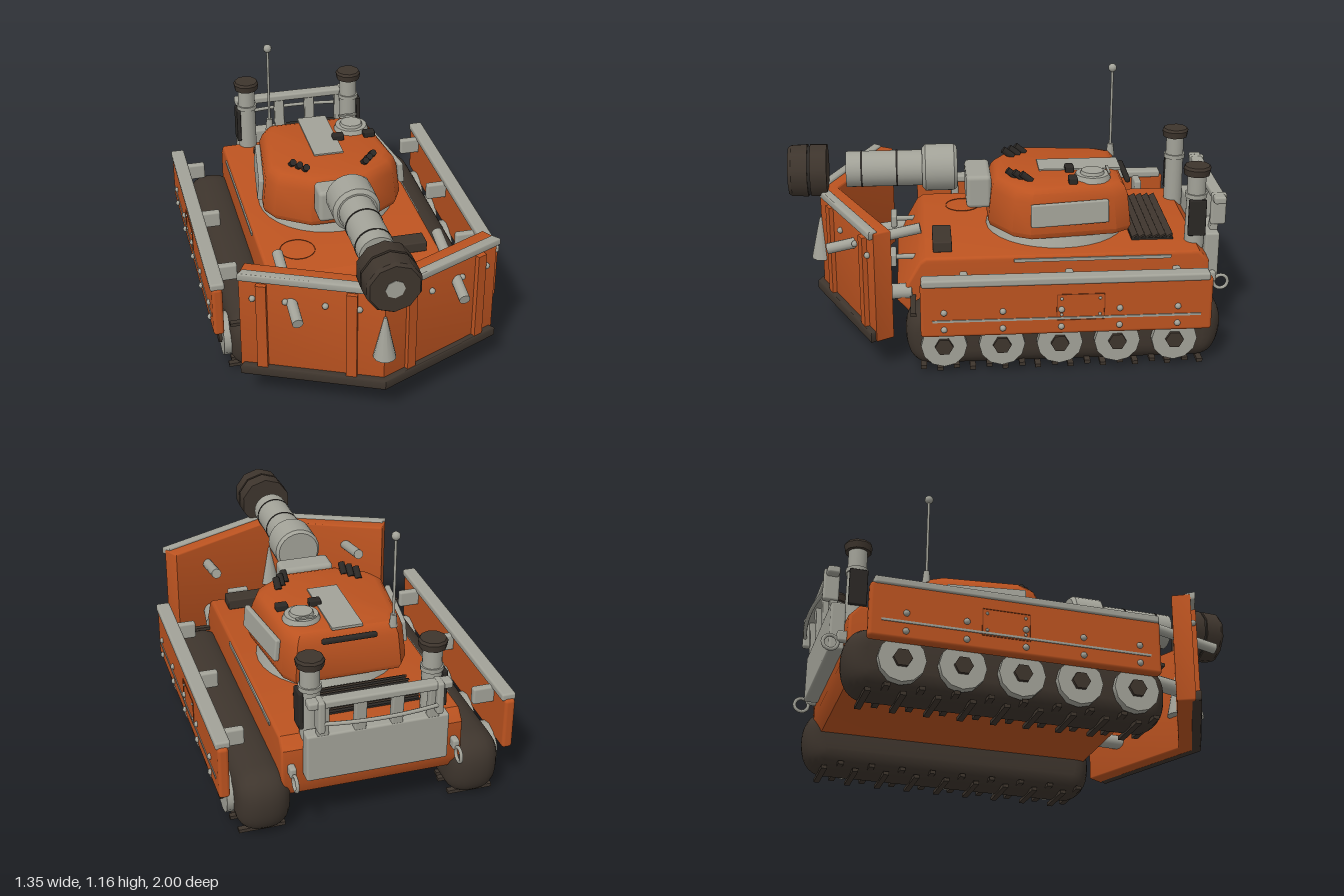
import * as THREE from 'three';
import { toCreasedNormals } from 'three/addons/utils/BufferGeometryUtils.js';
import { RoundedBoxGeometry } from 'three/addons/geometries/RoundedBoxGeometry.js';

const mat = (name, color) => {
  const m = new THREE.MeshStandardMaterial({ color });
  m.name = name;
  return m;
};

export function createModel() {
  const root = new THREE.Group();
  root.name = 'dozerTank';
  const orange = mat('orange paint', 0xbc5320);
  const seam = mat('dark orange seam', 0x8a3c17);
  const grey = mat('grey metal', 0xa2a298);
  const dark = mat('dark brown rubber', 0x3e352d);
  const black = mat('black iron', 0x2b2825);

  const add = (name, geo, m, x = 0, y = 0, z = 0, rx = 0, ry = 0, rz = 0) => {
    const mesh = new THREE.Mesh(geo, m);
    mesh.name = name;
    mesh.position.set(x, y, z);
    mesh.rotation.set(rx, ry, rz);
    root.add(mesh);
    return mesh;
  };
  const box = (w, h, d) => new THREE.BoxGeometry(w, h, d);
  const rbox = (w, h, d, r = 0.01) => new RoundedBoxGeometry(w, h, d, 2, r);
  const cyl = (r1, r2, h, n = 16) => new THREE.CylinderGeometry(r1, r2, h, n);
  const ball = r => new THREE.SphereGeometry(r, 10, 8);
  // Straight tube between two points
  const rod = (name, a, b, r, m) => {
    const va = new THREE.Vector3(...a), vb = new THREE.Vector3(...b);
    const mesh = add(name, cyl(r, r, va.distanceTo(vb), 12), m);
    mesh.position.copy(va).add(vb).multiplyScalar(0.5);
    mesh.quaternion.setFromUnitVectors(new THREE.Vector3(0, 1, 0), vb.sub(va).normalize());
  };
  // Side profile of (z, y) points, extruded across x
  const sideExtrude = (shape, width, size, thick) => {
    const g = new THREE.ExtrudeGeometry(shape, {
      depth: width - 2 * thick, bevelSize: size, bevelThickness: thick,
      bevelOffset: -size, bevelSegments: 5, curveSegments: 10,
    });
    g.translate(0, 0, thick - width / 2);
    g.rotateY(-Math.PI / 2);
    return toCreasedNormals(g, 0.6);
  };
  const poly = pts => new THREE.Shape(pts.map(p => new THREE.Vector2(...p)));
  const sides = [-1, 1];

  // Hull
  add('hull', sideExtrude(poly([[0.44, 0.17], [0.52, 0.26], [0.42, 0.44], [0.39, 0.46], [-0.83, 0.46],
    [-0.875, 0.41], [-0.875, 0.24], [-0.84, 0.17]]), 0.8, 0.015, 0.015), orange);
  add('roundHatchSeam', new THREE.TorusGeometry(0.08, 0.002, 6, 28), seam, -0.23, 0.461, 0.205, Math.PI / 2);
  add('deckBox', rbox(0.205, 0.05, 0.085, 0.006), dark, 0.235, 0.485, 0.315);
  add('grilleBase', box(0.51, 0.012, 0.19), black, 0, 0.463, -0.64);
  for (let i = 0; i < 6; i++)
    add('grilleSlat', box(0.51, 0.008, 0.03), dark, 0, 0.478, -0.56 - i * 0.032, 0.5);

  // Tracks, wheels and side skirts
  const loop = new THREE.Shape();
  loop.moveTo(0.38, 0.008);
  loop.bezierCurveTo(0.47, 0.012, 0.485, 0.1, 0.485, 0.17);
  loop.bezierCurveTo(0.485, 0.25, 0.43, 0.3, 0.36, 0.3);
  loop.lineTo(-0.78, 0.3);
  loop.bezierCurveTo(-0.87, 0.3, -0.91, 0.25, -0.91, 0.17);
  loop.bezierCurveTo(-0.91, 0.1, -0.89, 0.012, -0.8, 0.008);
  const trackGeo = sideExtrude(loop, 0.23, 0.085, 0.098);
  const wheelZ = [0, 1, 2, 3, 4].map(i => 0.32 - i * 0.252);
  for (const s of sides) {
    add('track', trackGeo, dark, s * 0.47, 0, 0);
    for (let i = 0; i < 18; i++) {
      const low = i % 2;
      add('trackCleat', box(low ? 0.205 : 0.245, 0.016, 0.026), dark, s * 0.475, low ? 0.008 : 0.03, 0.41 - i * 0.072);
    }
    add('frontCleat', box(0.2, 0.016, 0.025), dark, s * 0.49, 0.28, 0.45);
    for (const z of wheelZ) {
      add('roadWheel', cyl(0.1, 0.1, 0.04, 12), grey, s * 0.595, 0.14, z, 0, 0, Math.PI / 2);
      add('wheelHub', cyl(0.04, 0.04, 0.02, 6), dark, s * 0.62, 0.14, z, 0, 0, Math.PI / 2);
      for (const y of [0.24, 0.32]) add('skirtBolt', ball(0.014), grey, s * 0.659, y, z);
    }
    add('sideSkirt', rbox(0.048, 0.245, 1.26, 0.015), orange, s * 0.635, 0.325, -0.21);
    add('skirtRail', rbox(0.065, 0.035, 1.24), grey, s * 0.633, 0.455, -0.205);
    add('skirtStrip', box(0.006, 0.01, 1.16), grey, s * 0.66, 0.28, -0.21);
    for (const z of [-0.165, -0.37]) add('skirtPanelSeam', box(0.004, 0.12, 0.004), seam, s * 0.66, 0.33, z);
    for (const y of [0.27, 0.39]) add('skirtPanelSeam', box(0.004, 0.004, 0.205), seam, s * 0.66, y, -0.268);
    for (const z of [-0.185, -0.35])
      for (const y of [0.295, 0.37]) add('panelBolt', ball(0.007), grey, s * 0.659, y, z);
    for (const z of [0.23, -0.23, -0.7])
      add('skirtBracket', rbox(0.13, 0.08, 0.035), grey, s * 0.58, 0.41, z);
    add('hullSideRail', box(0.008, 0.015, 0.7), grey, s * 0.402, 0.44, -0.35);
  }

  // Turret lofted from scaled outlines
  const half = [[0.14, 0.1], [0.29, 0.0], [0.33, -0.08], [0.285, -0.47], [0.24, -0.54]];
  const outline = [...half, ...half.slice().reverse().map(([x, z]) => [-x, z])];
  const rings = [[0.505, 0.97], [0.53, 1], [0.675, 0.95], [0.71, 0.91], [0.728, 0.86], [0.737, 0.78]];
  const n = outline.length, pos = [], idx = [];
  for (const [y, k] of rings)
    for (const [x, z] of outline) pos.push(x * k, y, -0.22 + (z + 0.22) * k);
  for (let r = 0; r < rings.length - 1; r++)
    for (let i = 0; i < n; i++) {
      const a = r * n + i, b = r * n + (i + 1) % n;
      idx.push(a, b, a + n, b, b + n, a + n);
    }
  const top = (rings.length - 1) * n;
  for (let i = 1; i < n - 1; i++) idx.push(top, top + i, top + i + 1, 0, i + 1, i);
  const turretGeo = new THREE.BufferGeometry();
  turretGeo.setAttribute('position', new THREE.Float32BufferAttribute(pos, 3));
  turretGeo.setIndex(idx);
  add('turret', toCreasedNormals(turretGeo, 0.65), orange);
  add('turretRing', cyl(0.3, 0.325, 0.06, 32), grey, 0, 0.485, -0.22);
  add('roofPanel', box(0.14, 0.012, 0.375), grey, 0, 0.738, -0.325);
  add('commanderHatch', cyl(0.075, 0.085, 0.025, 20), grey, 0.165, 0.745, -0.37);
  add('hatchLid', cyl(0.05, 0.055, 0.014, 16), grey, 0.165, 0.764, -0.37);
  add('hatchHandle', box(0.09, 0.008, 0.012), grey, 0.165, 0.772, -0.44);
  for (const x of [0.077, 0.228]) add('hatchPeriscope', rbox(0.055, 0.03, 0.04, 0.006), black, x, 0.75, -0.275);
  add('rearTurretBar', rbox(0.25, 0.025, 0.025), black, 0, 0.7, -0.54);
  for (const s of sides) {
    add('turretSidePlate', rbox(0.025, 0.105, 0.355, 0.008), grey, s * 0.315, 0.622, -0.255, 0, s * 0.14, s * 0.1);
    for (let i = 0; i < 3; i++)
      add('smokeLauncher', cyl(0.016, 0.016, 0.06, 8), black, s * (0.14 + i * 0.025), 0.752, -0.01 - i * 0.03, 0.9, s * 0.5);
  }

  // Antenna
  add('antennaBase', cyl(0.014, 0.02, 0.06, 8), grey, -0.21, 0.735, -0.505);
  rod('antennaMast', [-0.21, 0.72, -0.505], [-0.21, 1.13, -0.505], 0.006, grey);
  add('antennaTip', ball(0.02), grey, -0.21, 1.138, -0.505);

  // Gun
  const tube = (name, r1, r2, z0, z1, m, k = 24) =>
    add(name, cyl(r1, r2, z1 - z0, k), m, 0, 0.742, (z0 + z1) / 2, Math.PI / 2);
  add('mantlet', rbox(0.25, 0.155, 0.115, 0.02), grey, 0, 0.658, 0.14);
  tube('barrelSleeve', 0.107, 0.107, 0.25, 0.38, grey);
  tube('sleeveRear', 0.107, 0.095, 0.235, 0.25, grey);
  tube('sleeveFront', 0.09, 0.107, 0.38, 0.395, grey);
  tube('barrel', 0.082, 0.082, 0.39, 0.74, grey);
  for (const z of [0.51, 0.67]) tube('barrelBand', 0.084, 0.084, z - 0.004, z + 0.004, black);
  tube('muzzleRear', 0.124, 0.122, 0.825, 0.9, dark, 10);
  tube('muzzleGroove', 0.115, 0.115, 0.9, 0.912, black, 10);
  tube('muzzleFront', 0.121, 0.124, 0.912, 0.985, dark, 10);
  tube('muzzleLip', 0.11, 0.121, 0.985, 1, dark, 10);
  tube('muzzleBore', 0.042, 0.042, 0.99, 1.002, grey, 8);

  // V-shaped dozer blade
  const vee = (front, back, w, y0, y1, b) => {
    const e = [w - b, front - b - 0.44 * w];
    const f = [w - b - 0.4 * (front - back), back + b - 0.45 * (w - 0.03)];
    const g = new THREE.ExtrudeGeometry(poly([[0, b - front], [e[0], -e[1]], [f[0], -f[1]], [0, -back - b],
      [-f[0], -f[1]], [-e[0], -e[1]]]), {
      depth: y1 - y0 - 2 * b, bevelSize: b, bevelThickness: b, bevelSegments: 3,
    });
    g.rotateX(-Math.PI / 2);
    return toCreasedNormals(g.translate(0, y0 + b, 0), 0.6);
  };
  add('blade', vee(0.865, 0.782, 0.568, 0.145, 0.655, 0.008), orange);
  add('bladeTopRail', vee(0.89, 0.843, 0.577, 0.627, 0.665, 0.009), grey);
  add('bladeCuttingEdge', vee(0.895, 0.845, 0.576, 0.143, 0.193, 0.01), dark);
  const onBlade = (name, geo, m, x, y, out) =>
    add(name, geo, m, x, y, 0.865 - 0.44 * Math.abs(x) + out, 0, Math.sign(x) * 0.414);
  for (const s of sides) {
    for (const x of [0.128, 0.483]) onBlade('bladeRib', box(0.045, 0.42, 0.03), orange, s * x, 0.402, 0.005);
    for (const x of [0.1, 0.233, 0.39, 0.52]) onBlade('bladeBolt', ball(0.014), grey, s * x, 0.537, 0.005);
    rod('bladeStrut', [s * 0.362, 0.592, 0.41], [s * 0.362, 0.505, 0.82], 0.024, grey);
    rod('bladePushArm', [s * 0.38, 0.3, 0.45], [s * 0.345, 0.28, 0.68], 0.035, grey);
    add('hullLamp', rbox(0.1, 0.06, 0.03, 0.008), grey, s * 0.23, 0.4, 0.535);
    rod('lampStalk', [s * 0.23, 0.4, 0.42], [s * 0.23, 0.4, 0.53], 0.012, grey);
  }
  // Spike on both faces of the blade fold
  for (const z of [0.868, 0.785]) add('bladeSpike', cyl(0.006, 0.05, 0.2, 12), grey, 0, 0.41, z);

  // Exhaust stacks
  for (const s of sides) {
    const x = s * 0.265, z = -0.828;
    add('exhaustStack', cyl(0.042, 0.045, 0.36), grey, x, 0.61, z);
    add('exhaustCollar', cyl(0.05, 0.05, 0.02), grey, x, 0.68, z);
    add('exhaustCap', cyl(0.056, 0.063, 0.012, 10), dark, x, 0.813, z);
    add('exhaustCapRim', cyl(0.063, 0.058, 0.03, 10), dark, x, 0.792, z);
    add('exhaustGuard', rbox(0.02, 0.17, 0.08, 0.005), black, x + s * 0.048, 0.585, z);
  }

  // Rear plate, railing and tow rings
  add('rearPlate', rbox(0.62, 0.22, 0.065), grey, 0, 0.395, -0.905);
  for (const x of [-0.24, -0.08, 0.08, 0.24])
    add('railPost', rbox(0.05, 0.22, 0.035, 0.006), grey, x, 0.55, -0.922, -0.08);
  add('topRail', rbox(0.62, 0.035, 0.055), grey, 0, 0.66, -0.933);
  const bow = new THREE.QuadraticBezierCurve3(new THREE.Vector3(-0.25, 0.575, -0.96),
    new THREE.Vector3(0, 0.575, -1.01), new THREE.Vector3(0.25, 0.575, -0.96));
  add('bowedRail', new THREE.TubeGeometry(bow, 12, 0.009, 8), grey);
  for (const s of sides) {
    add('railEnd', rbox(0.03, 0.15, 0.07, 0.01), grey, s * 0.255, 0.605, -0.935);
    add('towRing', new THREE.TorusGeometry(0.032, 0.008, 8, 16), grey, s * 0.36, 0.29, -0.94, 0, Math.PI / 2);
    add('towLug', rbox(0.03, 0.05, 0.06), grey, s * 0.36, 0.32, -0.885);
  }
  return root;
}
